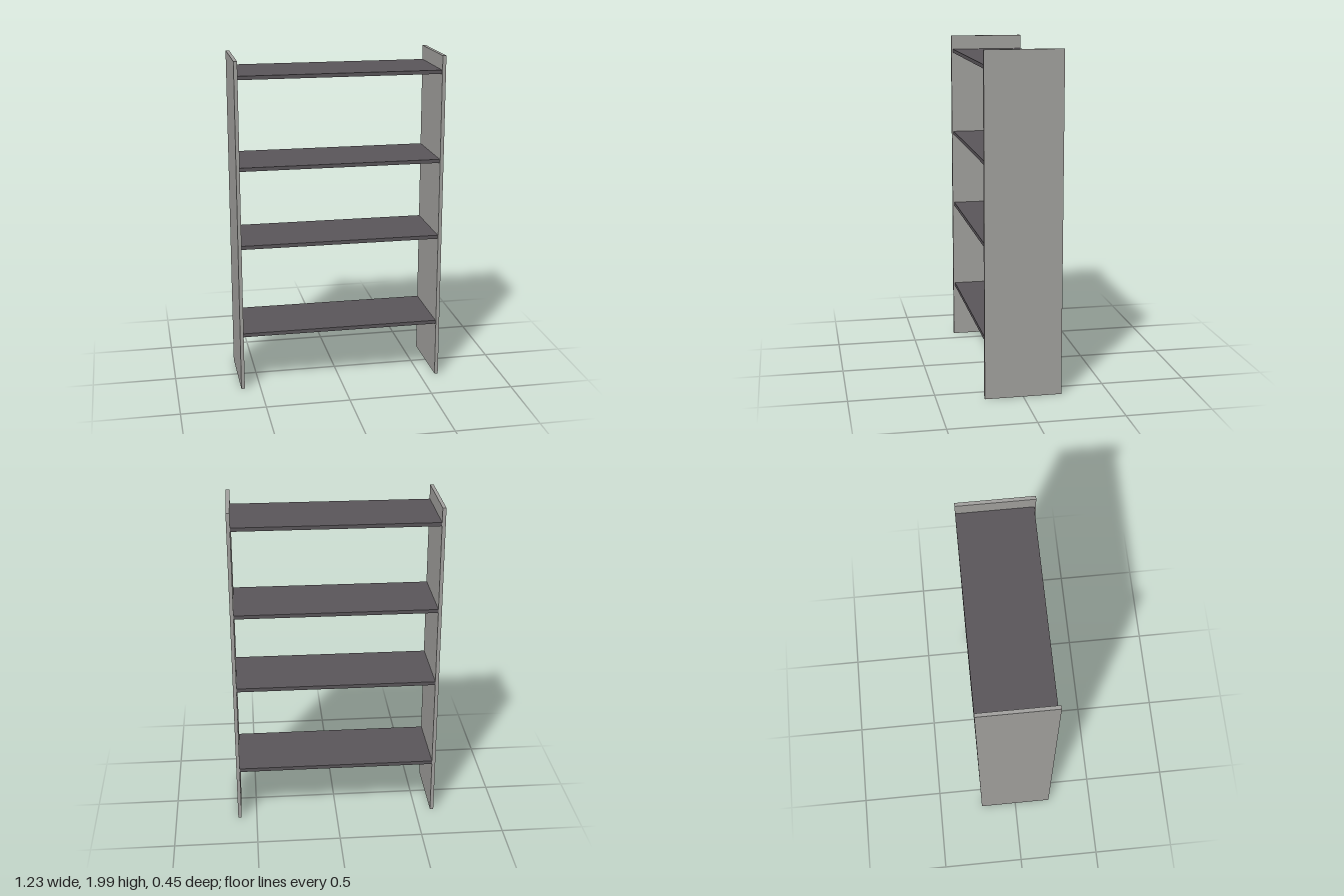
import * as THREE from 'three';

export function createModel() {
  const group = new THREE.Group();
  const panelGrey = new THREE.MeshStandardMaterial({ color: 0xa3a29f });
  panelGrey.name = 'light grey panel';
  const shelfGrey = new THREE.MeshStandardMaterial({ color: 0x5a565a });
  shelfGrey.name = 'dark grey shelf';

  // Adds a board given its size and centre.
  function board(name, material, size, centre) {
    const mesh = new THREE.Mesh(new THREE.BoxGeometry(...size), material);
    mesh.name = name;
    mesh.position.set(...centre);
    group.add(mesh);
  }

  // Upright side panels
  const bottom = 0.01, top = 2;
  for (const side of [-1, 1]) {
    board(side > 0 ? 'leftPanel' : 'rightPanel', panelGrey,
      [0.021, top - bottom, 0.45], [side * 0.6055, (top + bottom) / 2, 0]);
  }

  // Shelves, flush at the back and slightly set in at the front
  [0.352, 0.902, 1.373, 1.904].forEach((y, i) => {
    board('shelf' + (i + 1), shelfGrey, [1.19, 0.022, 0.44], [0, y, -0.005]);
  });

  return group;
}
